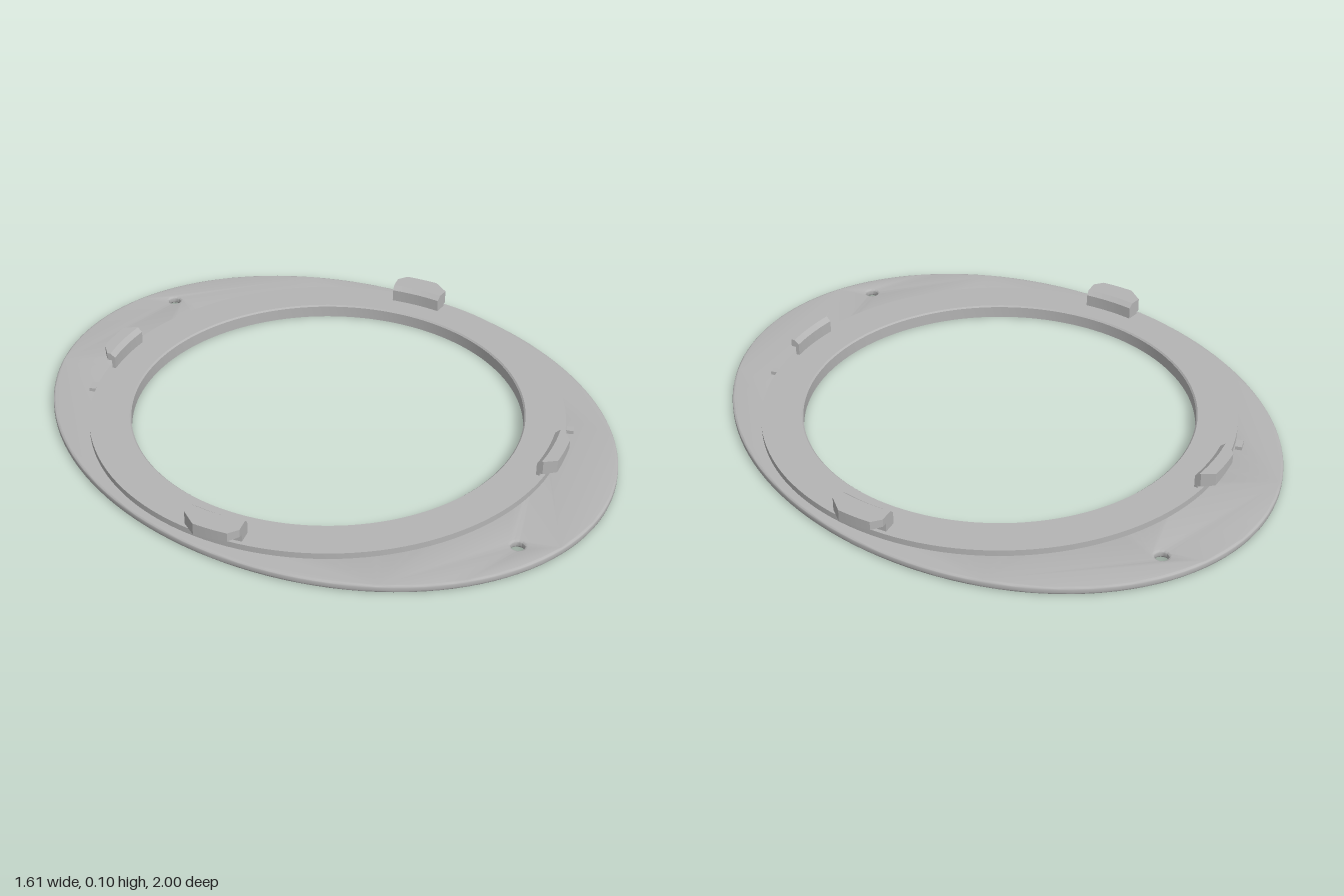
import * as THREE from 'three';
import { toCreasedNormals } from 'three/addons/utils/BufferGeometryUtils.js';

const DEG = Math.PI / 180;
const PLATE_TOP = 0.025, RING_TOP = 0.045, TAB_TOP = 0.1;

// Oval plate with a round opening and two screw holes, edges slightly rounded
function plateGeometry() {
  const b = 0.007;
  const shape = new THREE.Shape();
  shape.absellipse(0, 0, 0.805, 1, 0, Math.PI * 2, false);
  const hole = (x, y, r) => {
    const p = new THREE.Path();
    p.absarc(x, y, r, 0, Math.PI * 2, true);
    shape.holes.push(p);
  };
  hole(0, 0, 0.7);
  hole(0.155, 0.89, 0.021);
  hole(-0.155, -0.89, 0.021);
  const geo = new THREE.ExtrudeGeometry(shape, {
    depth: PLATE_TOP - 2 * b, curveSegments: 64,
    bevelThickness: b, bevelSize: b, bevelOffset: -b, bevelSegments: 3,
  });
  geo.rotateX(-Math.PI / 2).translate(0, b, 0);
  return toCreasedNormals(geo, 0.6);
}

// Raised round collar that lines the opening
function collarGeometry() {
  const profile = [
    [0.64, 0], [0.708, 0], [0.708, PLATE_TOP - 0.001], [0.775, PLATE_TOP - 0.001],
    [0.775, RING_TOP], [0.645, RING_TOP], [0.64, RING_TOP - 0.005], [0.64, 0],
  ].map(([r, y]) => new THREE.Vector2(r, y));
  return toCreasedNormals(new THREE.LatheGeometry(profile, 128), 0.5);
}

// Hooked locking tab: cross-sections swept around the collar, with a ramped lip.
// angles: start, end of first corner cut, start of last corner cut, end
function tabGeometry(inner, angles) {
  const outer = [0.771, 0.807, 0.806, 0.778];
  const pos = [], index = [], n = 7;
  const stations = [];
  for (let s = 0; s < 3; s++) {
    const steps = s === 1 ? 6 : 1;
    for (let k = 0; k < steps; k++) {
      const t = k / steps;
      stations.push([THREE.MathUtils.lerp(angles[s], angles[s + 1], t),
        THREE.MathUtils.lerp(outer[s], outer[s + 1], t)]);
    }
  }
  stations.push([angles[3], outer[3]]);
  stations.forEach(([deg, ro]) => {
    const lip = THREE.MathUtils.mapLinear(deg, angles[0], angles[3], 0.054, 0.074);
    const post = 0.762;
    const section = [
      [inner, RING_TOP - 0.003], [inner, 0.086], [inner + 0.016, TAB_TOP],
      [ro, TAB_TOP], [ro, lip], [post, lip], [post, RING_TOP - 0.003],
    ];
    section.forEach(([r, y]) => pos.push(r * Math.sin(deg * DEG), y, r * Math.cos(deg * DEG)));
  });
  const last = (stations.length - 1) * n;
  for (let s = 0; s < last; s += n) {
    for (let i = 0; i < n; i++) {
      const j = (i + 1) % n;
      index.push(s + i, s + j, s + n + j, s + i, s + n + j, s + n + i);
    }
  }
  // End caps, fanned from the inside corner under the lip
  for (let k = 1; k < n - 1; k++) {
    const p = (5 + k) % n, q = (6 + k) % n;
    index.push(last + 5, last + p, last + q, 5, q, p);
  }
  const geo = new THREE.BufferGeometry();
  geo.setAttribute('position', new THREE.Float32BufferAttribute(pos, 3));
  geo.setIndex(index);
  return toCreasedNormals(geo, 0.3);
}

export function createModel() {
  const group = new THREE.Group();
  group.name = 'adapterRing';
  const grey = new THREE.MeshStandardMaterial({ color: 0xb4b4b4 });
  grey.name = 'lightGrey';

  const add = (name, geo, turn = 0) => {
    const mesh = new THREE.Mesh(geo, grey);
    mesh.name = name;
    mesh.rotation.y = turn;
    group.add(mesh);
    return mesh;
  };

  add('ovalPlate', plateGeometry());
  add('collar', collarGeometry());

  // Locking tabs in opposite pairs
  const endTab = tabGeometry(0.75, [10.9, 13, 21.7, 25]);
  const sideTab = tabGeometry(0.717, [9, 13, 21, 23]);
  add('frontTab', endTab);
  add('backTab', endTab, Math.PI);
  add('rightTab', sideTab, -Math.PI / 2);
  add('leftTab', sideTab, Math.PI / 2);

  // Small index nubs beside the collar
  [['frontNub', 0, 0.025], ['backNub', Math.PI, 0.04]].forEach(([name, turn, width]) => {
    const a = 32.8 * DEG + turn;
    const nub = add(name, new THREE.BoxGeometry(width, 0.014, 0.022), a);
    nub.position.set(0.79 * Math.sin(a), PLATE_TOP + 0.005, 0.79 * Math.cos(a));
  });

  return group;
}
